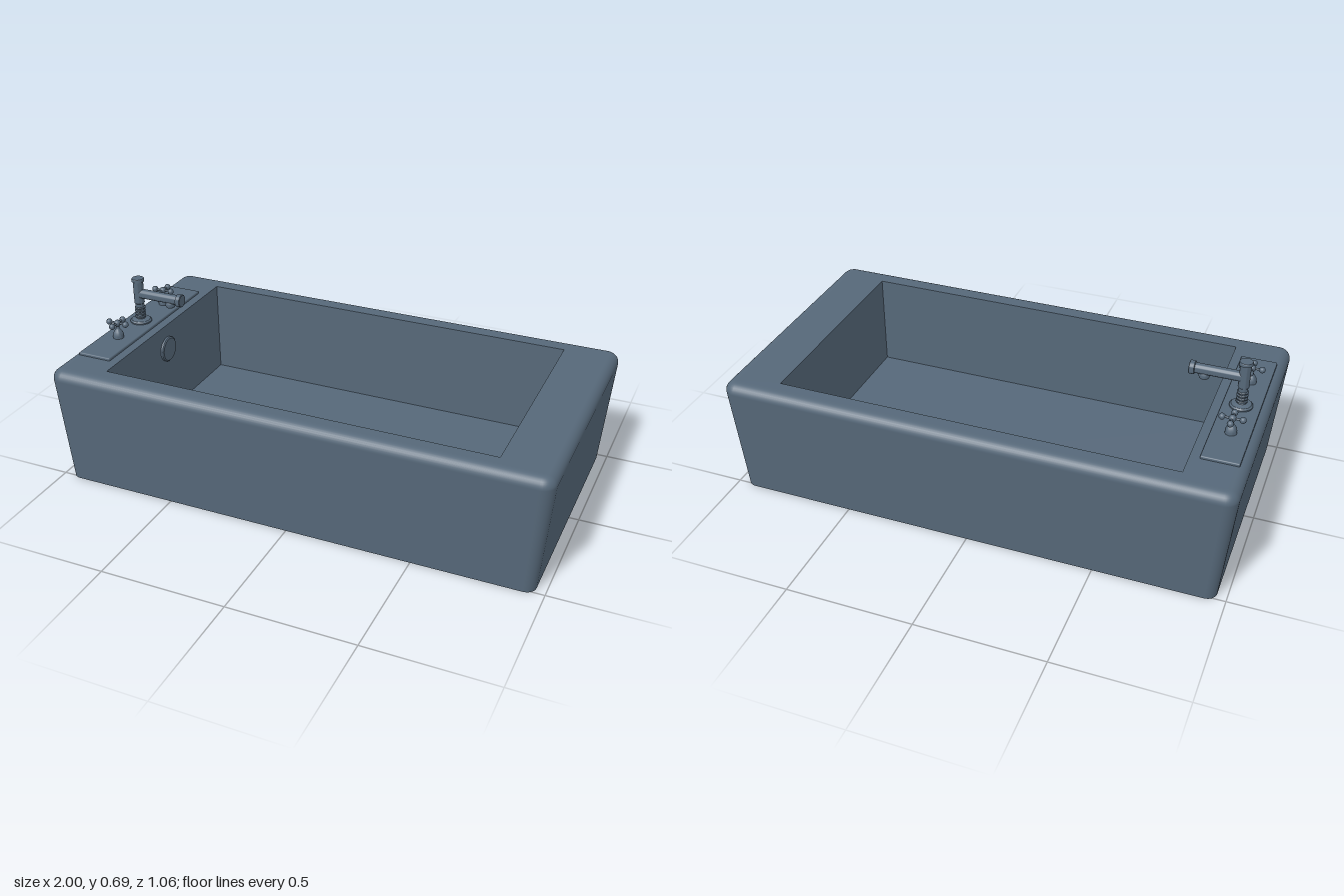
import * as THREE from 'three';
import { toCreasedNormals } from 'three/addons/utils/BufferGeometryUtils.js';
import { RoundedBoxGeometry } from 'three/addons/geometries/RoundedBoxGeometry.js';

const material = new THREE.MeshStandardMaterial({ color: 0x566879 });
const TOP = 0.483, FLOOR = 0.09, IN_X = 0.788, IN_Z = 0.442, DECK = 0.494;

function add(parent, name, geometry, x = 0, y = 0, z = 0) {
  const mesh = new THREE.Mesh(geometry, material);
  mesh.name = name;
  mesh.position.set(x, y, z);
  parent.add(mesh);
  return mesh;
}

// Turned part from [radius, height] pairs, listed bottom to top
function turned(profile, sides = 32) {
  const points = profile.map(([r, y]) => new THREE.Vector2(r, y));
  return toCreasedNormals(new THREE.LatheGeometry(points, sides), 0.6);
}

// Rounded rectangle outline as [x, z] pairs
function outline(hx, hz, r, steps = 8) {
  const points = [];
  for (let c = 0; c < 4; c++) {
    const sx = c === 0 || c === 3 ? 1 : -1, sz = c < 2 ? 1 : -1;
    for (let i = 0; i <= steps; i++) {
      const a = (c + i / steps) * Math.PI / 2;
      points.push([sx * (hx - r) + r * Math.cos(a), sz * (hz - r) + r * Math.sin(a)]);
    }
  }
  return points;
}

// Skin joining outlines of equal point count, bottom to top
function loft(rings) {
  const n = rings[0].points.length, positions = [], index = [];
  for (const { points, y } of rings) for (const [x, z] of points) positions.push(x, y, z);
  for (let k = 0; k < rings.length - 1; k++) {
    for (let i = 0; i < n; i++) {
      const a = k * n + i, b = k * n + (i + 1) % n;
      index.push(a, a + n, b, b, a + n, b + n);
    }
  }
  const geometry = new THREE.BufferGeometry();
  geometry.setAttribute('position', new THREE.Float32BufferAttribute(positions, 3));
  geometry.setIndex(index);
  geometry.computeVertexNormals();
  return geometry;
}

function flatShape(points, hole) {
  const toVectors = (list) => list.map(([x, z]) => new THREE.Vector2(x, z));
  const shape = new THREE.Shape(toVectors(points));
  if (hole) shape.holes.push(new THREE.Path(toVectors(hole)));
  return new THREE.ShapeGeometry(shape);
}

function makeTub() {
  const tub = new THREE.Group();
  tub.name = 'tub';

  // Tapered outer shell with a rolled top edge
  const bottom = outline(0.962, 0.511, 0.04);
  const rings = [{ points: bottom, y: 0 }];
  const roll = 0.04;
  for (let i = 0; i <= 8; i++) {
    const a = i / 8 * Math.PI / 2, inset = roll * (1 - Math.cos(a));
    rings.push({
      points: outline(1 - inset, 0.531 - inset, 0.05 - inset),
      y: TOP - roll + roll * Math.sin(a),
    });
  }
  const rim = outline(0.955, 0.486, 0.006);
  rings.push({ points: rim, y: TOP });
  add(tub, 'outerShell', loft(rings));

  // Flat rim around the opening, and the underside
  const opening = [[-IN_X, -IN_Z], [-IN_X, IN_Z], [IN_X, IN_Z], [IN_X, -IN_Z]];
  add(tub, 'rim', flatShape(rim, opening).rotateX(-Math.PI / 2), 0, TOP);
  add(tub, 'underside', flatShape(bottom).rotateX(Math.PI / 2));

  // Straight-walled basin
  const depth = TOP - FLOOR, mid = (TOP + FLOOR) / 2;
  add(tub, 'basinFloor', new THREE.PlaneGeometry(2 * IN_X, 2 * IN_Z).rotateX(-Math.PI / 2), 0, FLOOR);
  for (const s of [-1, 1]) {
    add(tub, 'basinEndWall', new THREE.PlaneGeometry(2 * IN_Z, depth).rotateY(-s * Math.PI / 2), s * IN_X, mid);
    add(tub, 'basinSideWall', new THREE.PlaneGeometry(2 * IN_X, depth).rotateY(s > 0 ? Math.PI : 0), 0, mid, s * IN_Z);
  }

  // Drain in the floor and overflow cover on the end wall
  add(tub, 'drain', turned([[0.055, 0], [0.055, 0.006], [0.05, 0.01], [0.041, 0.01], [0.039, 0.004], [0, 0.004]], 40),
    -0.637, FLOOR, 0);
  const cover = turned([[0.053, 0], [0.053, 0.009], [0.048, 0.013], [0, 0.013]], 40);
  add(tub, 'overflowCover', cover.rotateZ(-Math.PI / 2), -IN_X, 0.377, 0);
  return tub;
}

function makeHandle() {
  const handle = new THREE.Group();
  handle.name = 'tapHandle';
  add(handle, 'handleBase', turned([[0.022, 0], [0.022, 0.01], [0.02, 0.02], [0.015, 0.03],
    [0.01, 0.036], [0.007, 0.042], [0.007, 0.06]], 24));
  add(handle, 'handleHub', new THREE.SphereGeometry(0.014, 20, 14), 0, 0.063);
  // Four spokes with ball ends
  for (let i = 0; i < 4; i++) {
    const spoke = new THREE.Group();
    spoke.name = 'handleSpoke';
    spoke.rotation.y = i * Math.PI / 2;
    add(spoke, 'spokeBar', new THREE.CylinderGeometry(0.0045, 0.0045, 0.038, 12).rotateZ(Math.PI / 2), 0.019, 0.063);
    add(spoke, 'spokeBall', new THREE.SphereGeometry(0.0125, 18, 12), 0.038, 0.063);
    handle.add(spoke);
  }
  return handle;
}

function makeFaucet() {
  const faucet = new THREE.Group();
  faucet.name = 'faucet';

  // Column with flange, ridged lower part and cap
  const column = [[0.044, 0], [0.044, 0.005], [0.038, 0.011], [0.025, 0.013], [0.019, 0.016]];
  for (let i = 0; i < 4; i++) {
    const y = 0.018 + i * 0.013;
    column.push([0.018, y], [0.022, y + 0.003], [0.022, y + 0.007], [0.018, y + 0.01]);
  }
  column.push([0.018, 0.082], [0.021, 0.085], [0.021, 0.179], [0.026, 0.18],
    [0.026, 0.19], [0.024, 0.193], [0, 0.193]);
  add(faucet, 'column', turned(column));

  // Spout reaching over the basin
  const spout = turned([[0.02, 0], [0.02, 0.183], [0.026, 0.185], [0.026, 0.203], [0.024, 0.205], [0, 0.205]]);
  add(faucet, 'spout', spout.rotateZ(-Math.PI / 2), 0, 0.126);
  add(faucet, 'nozzle', turned([[0, 0], [0.01, 0], [0.018, 0.005], [0.021, 0.013], [0.021, 0.02], [0.016, 0.03]], 24),
    0.148, 0.086);
  return faucet;
}

export function createModel() {
  const model = new THREE.Group();
  model.name = 'bathtub';
  model.add(makeTub());

  // Mounting plate on the rim carrying the taps
  const plate = new RoundedBoxGeometry(0.142, 0.022, 0.712, 3, 0.005);
  add(model, 'mountingPlate', plate, -0.896, DECK - 0.011, 0.01);

  const faucet = makeFaucet();
  faucet.position.set(-0.895, DECK, 0.016);
  model.add(faucet);
  for (const z of [-0.169, 0.187]) {
    const handle = makeHandle();
    handle.position.set(-0.896, DECK, z);
    model.add(handle);
  }
  return model;
}
